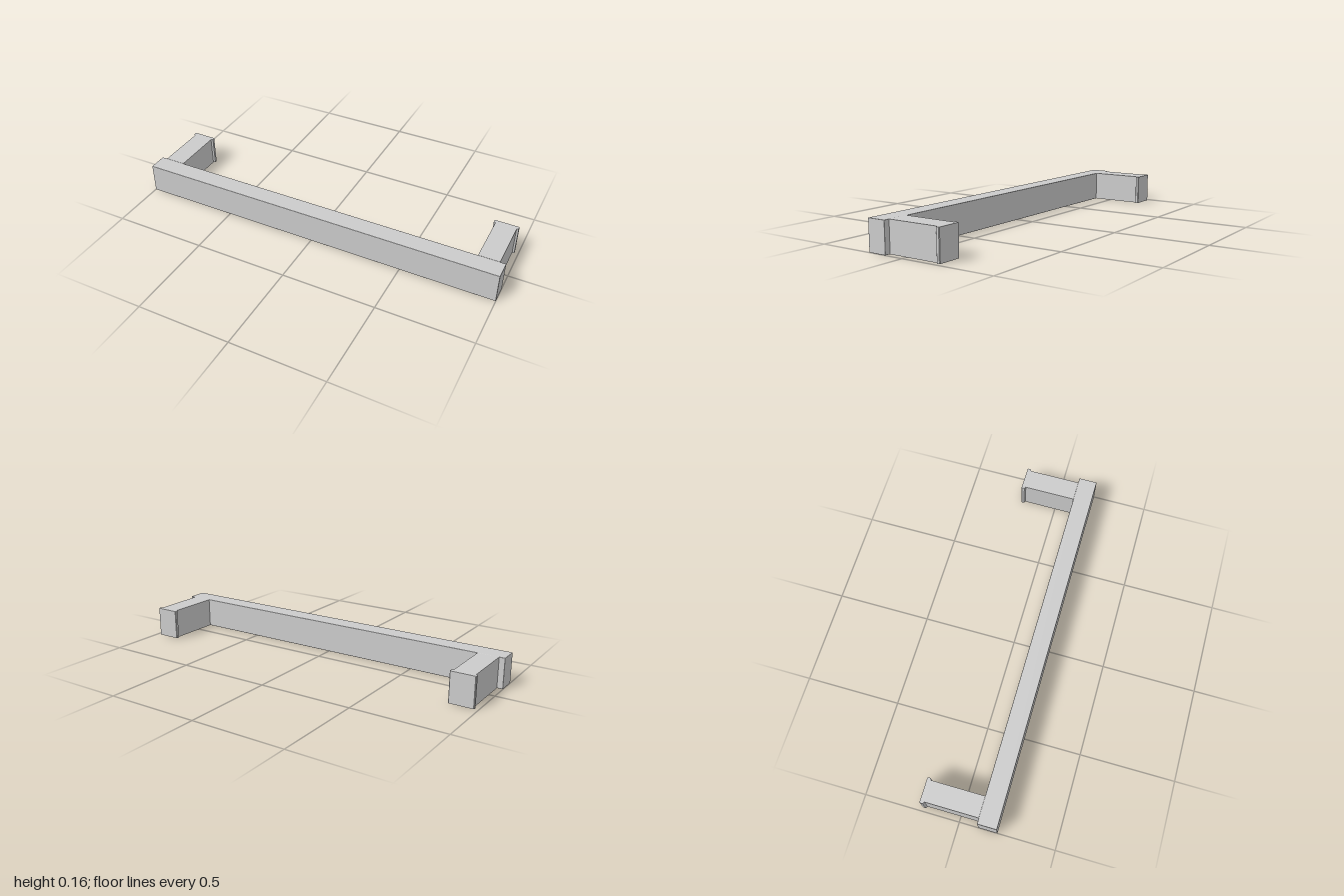
import * as THREE from 'three';
import { RoundedBoxGeometry } from 'three/addons/geometries/RoundedBoxGeometry.js';

const HEIGHT = 0.16;

// Plan outline of a mounting post: straight shank flaring into a thin foot at the back
function postGeometry() {
  const shank = 0.055, foot = 0.065, r = 0.003;
  const half = [
    [shank, -0.1], [shank, 0.178], [foot - r, 0.181], [foot, 0.184],
    [foot, 0.2 - r], [foot - r, 0.2],
  ];
  const outline = [...half, ...half.map(([x, y]) => [-x, y]).reverse()];
  const shape = new THREE.Shape(outline.map(([x, y]) => new THREE.Vector2(x, y)));
  const geometry = new THREE.ExtrudeGeometry(shape, { depth: HEIGHT, bevelEnabled: false });
  return geometry.rotateX(-Math.PI / 2);
}

export function createModel() {
  const model = new THREE.Group();
  model.name = 'barHandle';
  const material = new THREE.MeshStandardMaterial({ color: 0xcccccc });

  // Long grip bar across the front, with finely eased edges
  const bar = new THREE.Mesh(new RoundedBoxGeometry(2, HEIGHT, 0.1, 2, 0.002), material);
  bar.name = 'gripBar';
  bar.position.set(0, HEIGHT / 2, 0.15);
  model.add(bar);

  // Mounting posts at both ends
  const geometry = postGeometry();
  for (const side of [1, -1]) {
    const post = new THREE.Mesh(geometry, material);
    post.name = side > 0 ? 'leftPost' : 'rightPost';
    post.position.x = side * 0.915;
    model.add(post);
  }
  return model;
}
